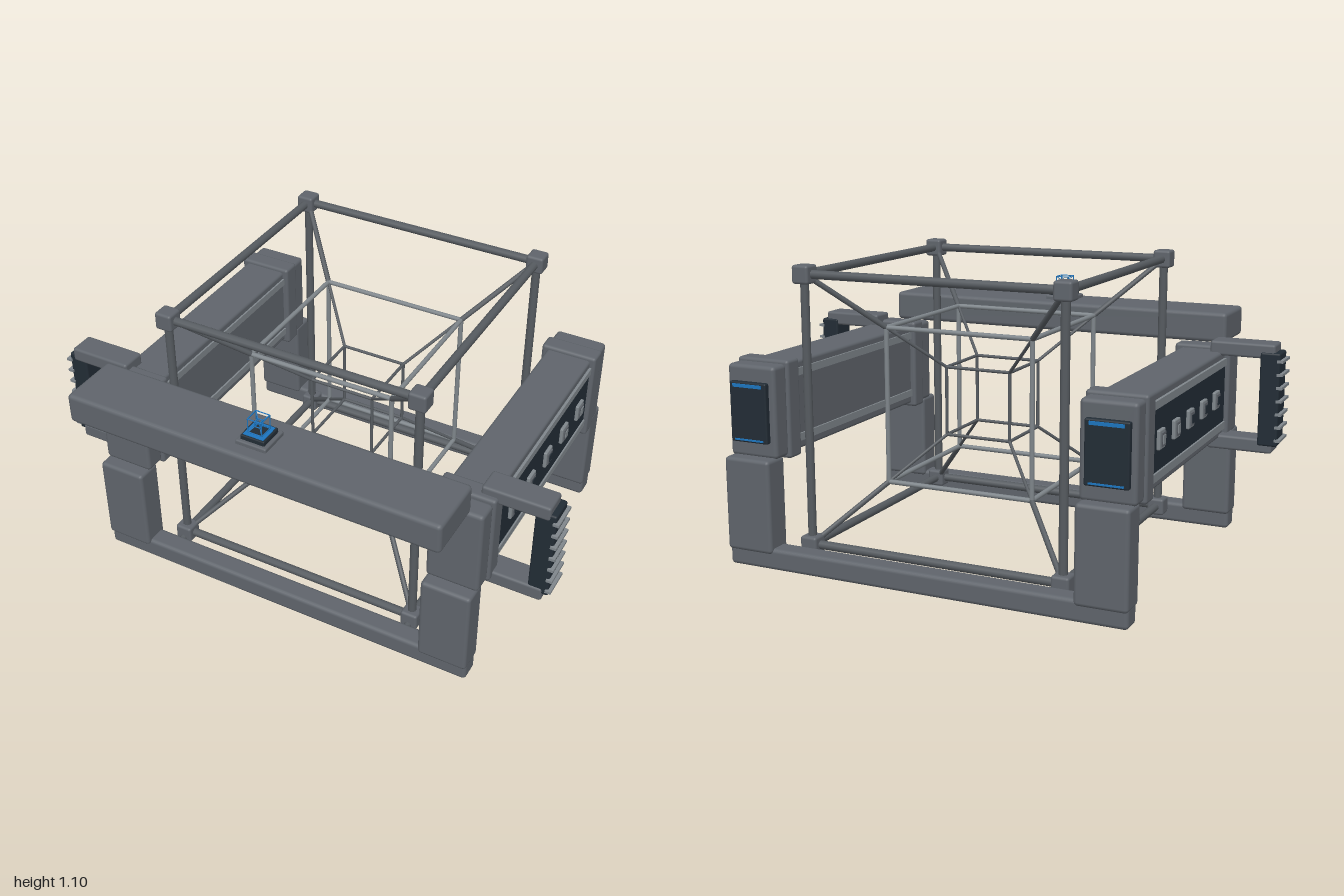
import * as THREE from 'three';
import { RoundedBoxGeometry } from 'three/addons/geometries/RoundedBoxGeometry.js';

const mat = (name, color) => {
  const m = new THREE.MeshStandardMaterial({ color });
  m.name = name;
  return m;
};

export function createModel() {
  const model = new THREE.Group();
  model.name = 'cubeFrameStation';
  const grey = mat('housingGrey', 0x5f646b);
  const frame = mat('frameGrey', 0x565b60);
  const light = mat('lightMetal', 0x7f868b);
  const dark = mat('darkPanel', 0x222c35);
  const blue = mat('blueGlow', 0x1c74bd);

  // Box given by its limits on each axis; a radius rounds the edges
  const box = (parent, name, material, [x0, x1], [y0, y1], [z0, z1], r = 0) => {
    const s = [x1 - x0, y1 - y0, z1 - z0];
    const geo = r ? new RoundedBoxGeometry(...s, 2, r) : new THREE.BoxGeometry(...s);
    const mesh = new THREE.Mesh(geo, material);
    mesh.name = name;
    mesh.position.set((x0 + x1) / 2, (y0 + y1) / 2, (z0 + z1) / 2);
    parent.add(mesh);
    return mesh;
  };

  // Round bar between two points
  const bar = (parent, name, material, a, b, r) => {
    const d = b.clone().sub(a);
    const mesh = new THREE.Mesh(new THREE.CylinderGeometry(r, r, d.length(), 10), material);
    mesh.name = name;
    mesh.position.copy(a).add(b).multiplyScalar(0.5);
    mesh.quaternion.setFromUnitVectors(new THREE.Vector3(0, 1, 0), d.normalize());
    parent.add(mesh);
  };

  // Corner i of a cube with half size h: its bits choose the sign on each axis
  const corner = (i, h) => new THREE.Vector3(i & 1 ? h : -h, i & 2 ? h : -h, i & 4 ? h : -h);
  const cubeEdges = (parent, name, material, h, r) => {
    for (let i = 0; i < 8; i++)
      for (const bit of [1, 2, 4])
        if (!(i & bit)) bar(parent, name, material, corner(i, h), corner(i | bit, h), r);
  };
  const cubeLinks = (parent, name, material, h0, h1, r) => {
    for (let i = 0; i < 8; i++) bar(parent, name, material, corner(i, h0), corner(i, h1), r);
  };

  // Three nested cube frames
  const cubes = new THREE.Group();
  cubes.name = 'nestedCubes';
  cubes.position.set(0, 0.576, -0.09);
  model.add(cubes);
  cubeEdges(cubes, 'outerBar', frame, 0.494, 0.016);
  cubeEdges(cubes, 'middleBar', light, 0.288, 0.009);
  cubeEdges(cubes, 'innerBar', frame, 0.128, 0.006);
  cubeLinks(cubes, 'outerLink', frame, 0.494, 0.288, 0.01);
  cubeLinks(cubes, 'innerLink', frame, 0.288, 0.128, 0.006);
  for (let i = 0; i < 8; i++) {
    const joint = new THREE.Mesh(new RoundedBoxGeometry(0.067, 0.067, 0.067, 2, 0.01), grey);
    joint.name = 'cornerJoint';
    joint.position.copy(corner(i, 0.494));
    cubes.add(joint);
  }

  // Floor beams and the short ties to the cube
  box(model, 'frontBaseBeam', grey, [-0.77, 0.77], [0.005, 0.085], [0.45, 0.533], 0.015);
  box(model, 'backBaseBeam', grey, [-0.77, 0.77], [0.005, 0.085], [-0.71, -0.627], 0.015);
  for (const x of [-0.494, 0.494]) {
    bar(model, 'frontTie', frame, new THREE.Vector3(x, 0.07, 0.4), new THREE.Vector3(x, 0.06, 0.46), 0.014);
    bar(model, 'backTie', frame, new THREE.Vector3(x, 0.07, -0.58), new THREE.Vector3(x, 0.06, -0.64), 0.014);
  }

  // Side modules, laid out on +x and mirrored by a half turn of signs
  for (const s of [1, -1]) {
    const side = new THREE.Group();
    side.name = s > 0 ? 'leftModule' : 'rightModule';
    model.add(side);
    const X = (a, b) => (s > 0 ? [a, b] : [-b, -a]);

    // Pillars
    box(side, 'frontPillar', grey, X(0.583, 0.772), [0.065, 0.412], [0.44, 0.545], 0.014);
    box(side, 'backPillar', grey, X(0.583, 0.772), [0.065, 0.412], [-0.72, -0.615], 0.014);

    // Rail with end blocks and collars
    box(side, 'rail', grey, X(0.59, 0.764), [0.409, 0.742], [-0.6, 0.42], 0.012);
    box(side, 'frontEndBlock', grey, X(0.578, 0.777), [0.407, 0.745], [0.41, 0.495], 0.015);
    box(side, 'backEndBlock', grey, X(0.578, 0.777), [0.407, 0.745], [-0.67, -0.59], 0.015);
    box(side, 'frontCollar', grey, X(0.568, 0.785), [0.395, 0.757], [0.34, 0.415], 0.012);
    box(side, 'backCollar', grey, X(0.568, 0.785), [0.395, 0.757], [-0.597, -0.522], 0.012);

    // Dark outer panel, edge strips and sockets
    box(side, 'outerPanel', dark, X(0.762, 0.768), [0.47, 0.688], [-0.525, 0.345]);
    for (const y of [0.7, 0.455]) {
      box(side, 'outerStrip', light, X(0.76, 0.774), [y - 0.014, y + 0.014], [-0.525, 0.345]);
      box(side, 'innerStrip', light, X(0.583, 0.592), [y - 0.014, y + 0.014], [-0.525, 0.345]);
    }
    for (let i = 0; i < 5; i++) {
      const z = 0.21 - i * 0.16;
      box(side, 'socketPlate', light, X(0.765, 0.78), [0.543, 0.611], [z - 0.03, z + 0.03], 0.005);
      box(side, 'socketFrame', grey, X(0.77, 0.784), [0.553, 0.601], [z - 0.02, z + 0.02]);
      box(side, 'socketCore', i < 3 ? dark : light, X(0.78, 0.787), [0.562, 0.592], [z - 0.012, z + 0.012]);
    }

    // Screen on the back end
    box(side, 'backScreen', dark, X(0.603, 0.757), [0.465, 0.686], [-0.69, -0.665], 0.006);
    box(side, 'screenTopLight', blue, X(0.62, 0.74), [0.667, 0.679], [-0.695, -0.688]);
    box(side, 'screenBottomLight', blue, X(0.62, 0.74), [0.472, 0.478], [-0.694, -0.688]);

    // Outrigger: two arms, a dark block and its fins
    box(side, 'upperArm', grey, X(0.72, 0.967), [0.73, 0.785], [0.293, 0.393], 0.01);
    box(side, 'lowerArm', grey, X(0.72, 0.967), [0.37, 0.425], [0.293, 0.393], 0.01);
    box(side, 'finBlock', dark, X(0.913, 0.988), [0.4, 0.755], [0.288, 0.388], 0.008);
    for (let i = 0; i < 7; i++) {
      const y = 0.425 + i * 0.05;
      box(side, 'fin', light, X(0.978, 1), [y - 0.005, y + 0.005], [0.283, 0.395]);
    }
  }

  // Front cross beam
  box(model, 'crossBeam', grey, [-0.727, 0.727], [0.743, 0.86], [0.48, 0.72], 0.016);

  // Stepped stand with a blue inlay
  box(model, 'standBase', grey, [-0.06, 0.06], [0.855, 0.876], [0.548, 0.668], 0.006);
  box(model, 'standTop', dark, [-0.047, 0.047], [0.872, 0.893], [0.561, 0.655], 0.004);
  box(model, 'standInlay', blue, [-0.04, 0.04], [0.89, 0.895], [0.568, 0.648]);
  box(model, 'standPad', dark, [-0.024, 0.024], [0.892, 0.897], [0.584, 0.632]);

  // Small glowing copy of the nested cubes
  const emblem = new THREE.Group();
  emblem.name = 'smallCubes';
  emblem.position.set(0, 0.925, 0.608);
  model.add(emblem);
  cubeEdges(emblem, 'smallOuterBar', blue, 0.027, 0.002);
  cubeEdges(emblem, 'smallInnerBar', blue, 0.01, 0.002);
  cubeLinks(emblem, 'smallLink', blue, 0.027, 0.01, 0.0015);

  return model;
}
